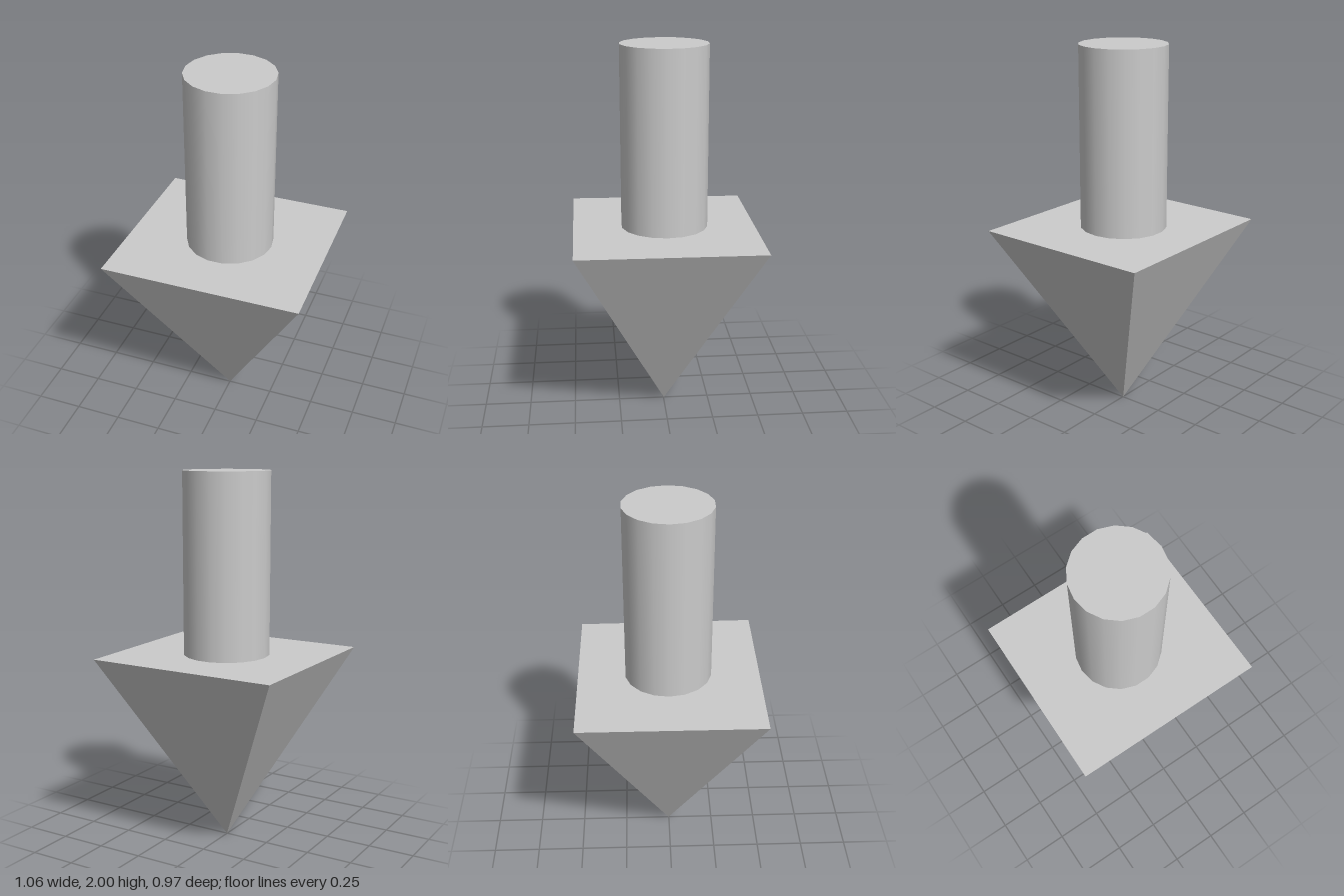
import * as THREE from 'three';

export function createModel() {
  const group = new THREE.Group();

  // Shaft: smooth 18-sided cylinder with corners on the x axis
  const shaft = new THREE.Mesh(
    new THREE.CylinderGeometry(0.231, 0.231, 0.97, 18, 1, false, Math.PI / 2),
    new THREE.MeshStandardMaterial({ color: 0xcccccc })
  );
  shaft.name = 'shaft';
  shaft.position.set(0, 1.515, -0.004);
  group.add(shaft);

  // Head: inverted pyramid, slightly wider and higher at the front edge
  const apex = [0, 0, -0.002];
  const rim = [
    [-0.528, 1.038, 0.482],
    [0.528, 1.038, 0.482],
    [0.521, 1.033, -0.485],
    [-0.521, 1.033, -0.485],
  ];
  const points = [];
  rim.forEach((corner, i) => points.push(...apex, ...rim[(i + 1) % 4], ...corner));
  points.push(...rim[0], ...rim[1], ...rim[2], ...rim[0], ...rim[2], ...rim[3]);
  const geometry = new THREE.BufferGeometry();
  geometry.setAttribute('position', new THREE.Float32BufferAttribute(points, 3));
  geometry.computeVertexNormals();
  const head = new THREE.Mesh(
    geometry,
    new THREE.MeshStandardMaterial({ color: 0xcccccc, flatShading: true })
  );
  head.name = 'arrowHead';
  group.add(head);

  return group;
}
